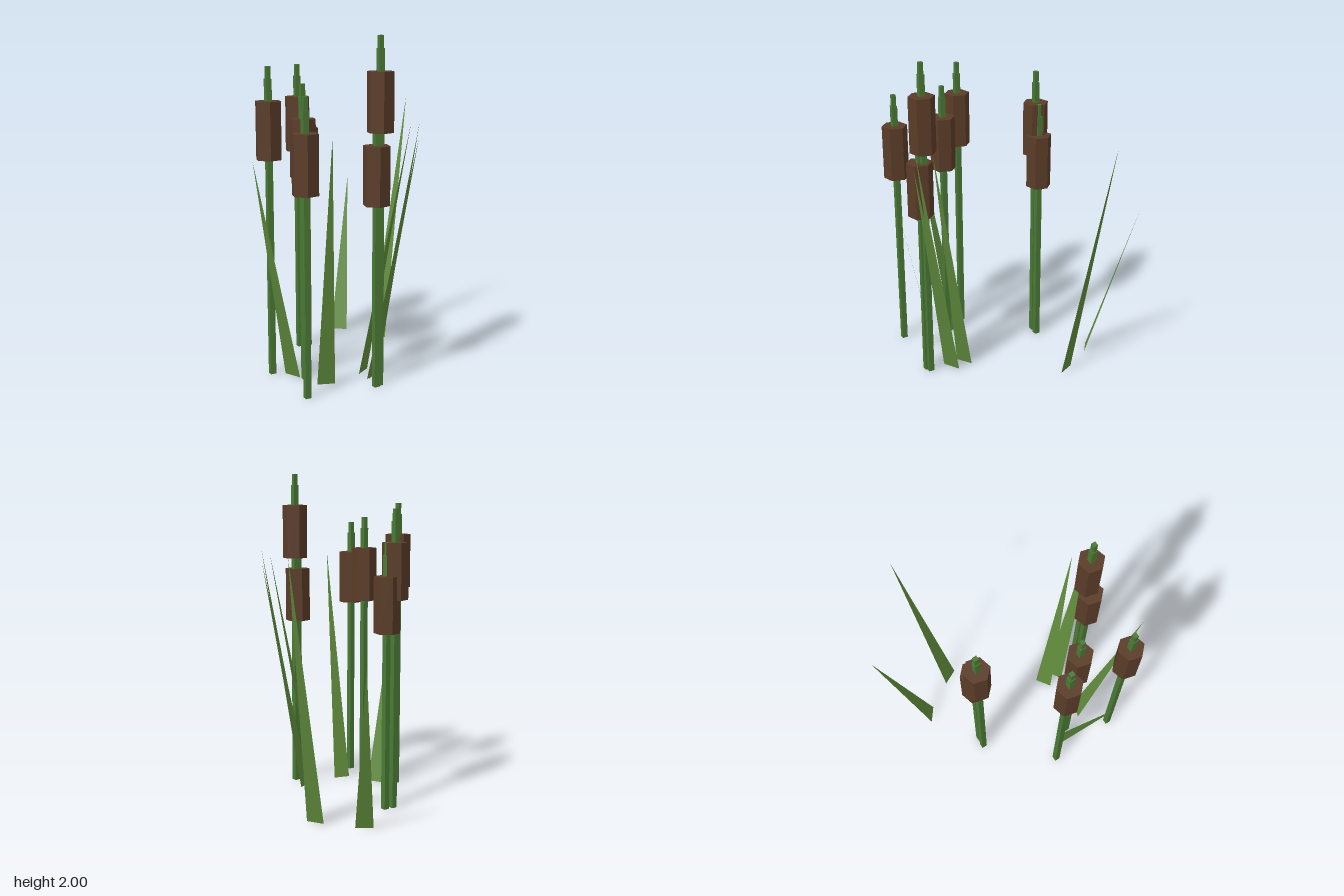
import * as THREE from 'three';

const stalkMat = new THREE.MeshStandardMaterial({ color: 0x4a7a35, flatShading: true });
const headMat = new THREE.MeshStandardMaterial({ color: 0x5a3c28, flatShading: true });
const bladeMat = new THREE.MeshStandardMaterial({ color: 0x5f8a3c, flatShading: true, side: THREE.DoubleSide });

// Upright prism between two heights
function prism(name, radius, y0, y1, sides, material) {
  const geometry = new THREE.CylinderGeometry(radius, radius, y1 - y0, sides);
  if (sides === 6) geometry.rotateY(Math.PI / 6);
  const mesh = new THREE.Mesh(geometry, material);
  mesh.name = name;
  mesh.position.y = (y0 + y1) / 2;
  return mesh;
}

// Reed: square stalk, hexagonal seed head and a thinner tip
function reed(x, z, top) {
  const group = new THREE.Group();
  group.name = 'reed';
  group.add(
    prism('stalk', 0.024, 0, top - 0.07, 4, stalkMat),
    prism('seedHead', 0.078, top - 0.53, top - 0.195, 6, headMat),
    prism('tip', 0.018, top - 0.07, top, 4, stalkMat)
  );
  group.position.set(x, 0, z);
  return group;
}

// Leaf blade: flat triangle from two ground points to a leaning point
function blade([ax, az], [bx, bz], tip) {
  const geometry = new THREE.BufferGeometry();
  geometry.setAttribute('position', new THREE.Float32BufferAttribute([ax, 0, az, bx, 0, bz, ...tip], 3));
  geometry.computeVertexNormals();
  const mesh = new THREE.Mesh(geometry, bladeMat);
  mesh.name = 'leafBlade';
  return mesh;
}

export function createModel() {
  const model = new THREE.Group();
  model.name = 'reedCluster';

  // x, z and height of each reed
  const reeds = [
    [0.262, 0.405, 2.0], [0.25, 0.435, 1.595], [-0.07, 0.71, 1.685], [-0.18, 0.44, 1.73],
    [-0.395, 0.415, 1.82], [-0.405, -0.09, 1.8], [-0.36, -0.125, 1.605],
  ];
  for (const [x, z, top] of reeds) model.add(reed(x, z, top));

  // Two base corners (x, z) and the tip (x, y, z) of each blade
  const blades = [
    [[-0.317, -0.473], [-0.212, -0.486], [-0.296, 0.99, -0.778]],
    [[-0.025, -0.436], [0.078, -0.4], [0.132, 1.56, -0.7]],
    [[-0.32, 0.395], [-0.214, 0.434], [-0.379, 1.32, 0.695]],
    [[-0.08, 0.512], [0.012, 0.463], [0.099, 1.49, 0.754]],
    [[0.103, 0.283], [0.123, 0.178], [0.407, 1.51, 0.292]],
    [[0.18, 0.335], [0.204, 0.235], [0.473, 1.52, 0.37]],
    [[0.172, 0.347], [0.196, 0.245], [0.474, 1.44, 0.385]],
  ];
  for (const [a, b, tip] of blades) model.add(blade(a, b, tip));

  return model;
}
